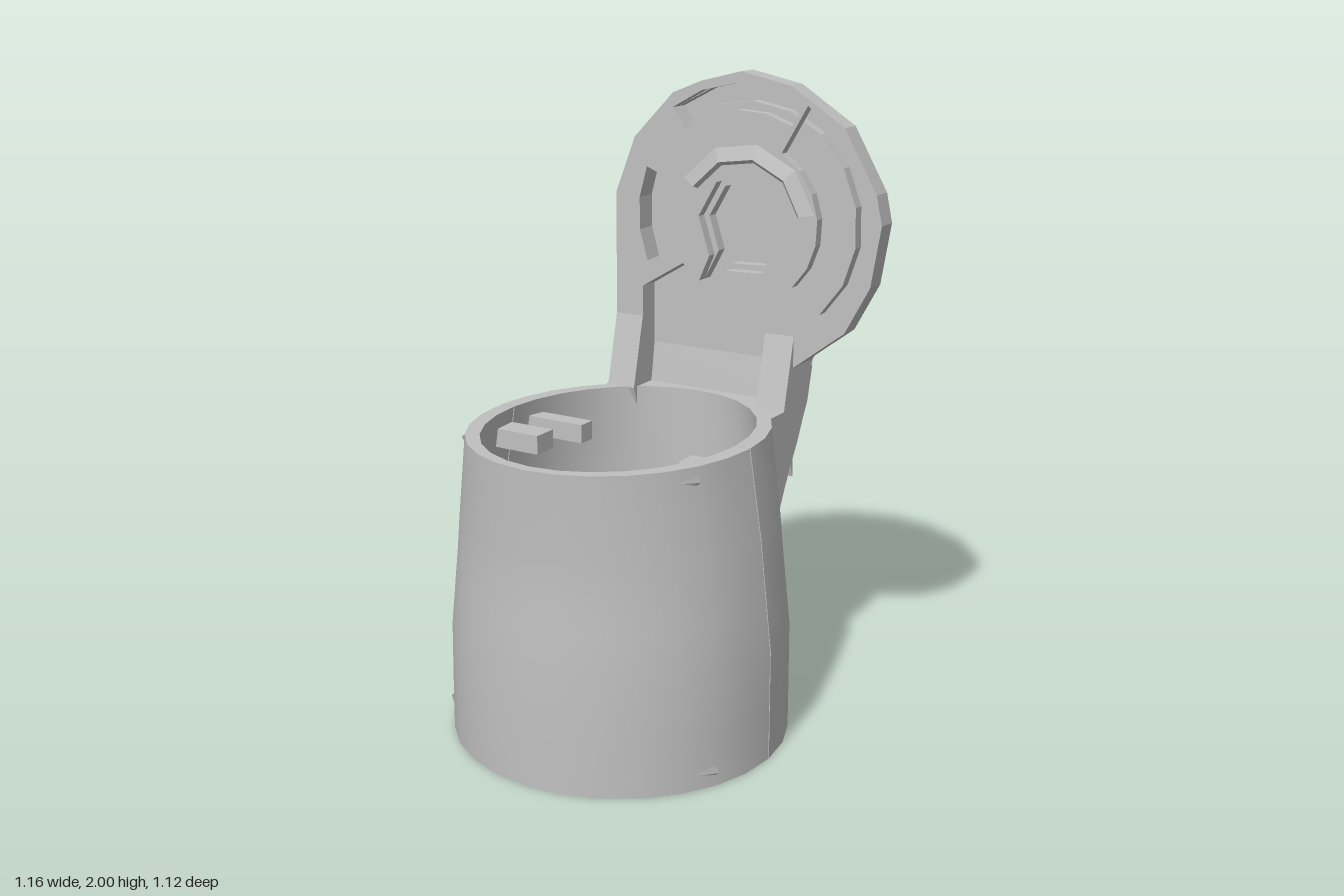
import * as THREE from 'three';

const grey = new THREE.MeshStandardMaterial({ color: 0xc0c0c0, side: THREE.DoubleSide });
grey.name = 'plain grey';

const CX = -0.055, CZ = 0.03;      // sleeve axis
const DX = 0.115, DY = 1.54;       // disc centre
const lerp = THREE.MathUtils.lerp;

// piecewise-linear lookup in [[key, value], ...]
function sample(table, y) {
  if (y <= table[0][0]) return table[0][1];
  for (let i = 1; i < table.length; i++) {
    const [a, va] = table[i - 1], [b, vb] = table[i];
    if (y <= b) return lerp(va, vb, (y - a) / (b - a));
  }
  return table[table.length - 1][1];
}
const outerX = [[0, 0.529], [0.35, 0.527], [0.7, 0.487], [0.97, 0.445]];
const outerZ = [[0, 0.522], [0.3, 0.52], [0.65, 0.497], [0.97, 0.505]];
const armBlend = [[0.6, 0], [0.72, 0.28], [0.85, 0.62], [0.97, 0.87], [1.08, 0.97], [1.2, 1]];

// surface through rows of points: us x vs
function surface(us, vs, fn) {
  const pos = [], idx = [], n = vs.length;
  us.forEach(u => vs.forEach(v => pos.push(...fn(u, v))));
  for (let i = 0; i < us.length - 1; i++) for (let j = 0; j < n - 1; j++) {
    const a = i * n + j;
    idx.push(a, a + 1, a + n, a + 1, a + n + 1, a + n);
  }
  const g = new THREE.BufferGeometry();
  g.setAttribute('position', new THREE.Float32BufferAttribute(pos, 3));
  g.setIndex(idx);
  g.computeVertexNormals();
  return g;
}
function add(parent, name, geo) {
  const m = new THREE.Mesh(geo, grey);
  m.name = name;
  parent.add(m);
  return m;
}
function box(parent, name, x0, x1, y0, y1, z0, z1) {
  add(parent, name, new THREE.BoxGeometry(x1 - x0, y1 - y0, z1 - z0))
    .position.set((x0 + x1) / 2, (y0 + y1) / 2, (z0 + z1) / 2);
}

// sleeve points; s is +1 for the front half, -1 for the back half
const wall = (a, y, s, inX, inZ) => [CX - s * Math.cos(a) * (sample(outerX, y) - inX), y,
  CZ + s * (0.002 + Math.sin(a) * (sample(outerZ, y) - inZ))];
const outer = (a, y, s) => wall(a, y, s, 0, 0);
const inner = (a, y, s) => wall(a, y, s, 0.05, 0.035);
// edge of the inner ledge: round with a flat on each side
const ledge = (a, y, s) => [CX - s * THREE.MathUtils.clamp(Math.cos(a) * 0.44, -0.35, 0.35), y,
  CZ + s * (0.002 + Math.sin(a) * 0.43)];

function halfSleeve(s) {
  const g = new THREE.Group();
  g.name = s > 0 ? 'frontSleeveHalf' : 'backSleeveHalf';
  const as = Array.from({ length: 15 }, (_, i) => i / 14 * Math.PI);
  const ys = [0, 0.01, 0.15, 0.35, 0.5, 0.6, 0.7, 0.85, 0.97];
  const band = (name, rows) => add(g, name, surface(rows, as, ([fn, y], a) => fn(a, y, s)));
  band('outerWall', ys.map(y => [outer, y]));
  band('innerWall', ys.map(y => [inner, y]).reverse());
  band('topRim', [[outer, 0.97], [inner, 0.97]]);
  band('bottomRim', [[inner, 0], [outer, 0]]);
  band('ledgeTop', [[inner, 0.16], [ledge, 0.16]]);
  band('ledgeEdge', [[ledge, 0.16], [ledge, 0.1]]);
  band('ledgeUnderside', [[ledge, 0.1], [inner, 0.1]]);
  // faces along the seam
  [0, Math.PI].forEach(a => {
    add(g, 'seamFace', surface([outer, inner], ys, (fn, y) => fn(a, y, s)));
    add(g, 'ledgeEnd', surface([inner, ledge], [0.1, 0.16], (fn, y) => fn(a, y, s)));
  });
  return g;
}

// z of the sleeve's back surface
function sleeveBack(x, y) {
  const d = (x - CX) / sample(outerX, y);
  return CZ - 0.002 - sample(outerZ, y) * Math.sqrt(Math.max(0, 1 - d * d));
}
function armBack(x, y) {
  const flat = x < -0.3 ? -0.5 : -0.56;
  return lerp(sleeveBack(x, y), flat, sample(armBlend, y));
}

// disc and arm silhouette, anticlockwise from lower right
const silhouette = [[0.3, 0.97], [0.3, 1.1], [0.47, 1.23], [0.55, 1.38], [0.58, 1.57], [0.56, 1.66],
  [0.45, 1.85], [0.27, 1.965], [0.1, 2], [-0.04, 1.965], [-0.14, 1.925], [-0.28, 1.78], [-0.35, 1.6], [-0.35, 1.1], [-0.35, 0.97]];
const toPoints = list => list.map(p => new THREE.Vector2(p[0], p[1]));

// arc-shaped opening round the disc centre, angles in degrees
function arcHole(r0, r1, d0, d1, n) {
  const pts = [];
  const put = (r, d) => pts.push([DX + r * Math.cos(d * Math.PI / 180), DY + r * Math.sin(d * Math.PI / 180)]);
  for (let i = 0; i <= n; i++) put(r1, lerp(d0, d1, i / n));
  for (let i = n; i >= 0; i--) put(r0, lerp(d0, d1, i / n));
  return new THREE.Path(toPoints(pts));
}

// front layer with the open slot and hub pocket cut into its outline
function frontLayer(z0, z1, hubR, holes) {
  const pts = [...silhouette, [-0.25, 0.97], [-0.25, 1.3], [-0.1, 1.39], [-0.04, 1.34]];
  for (let i = 0; i <= 7; i++) {
    const a = lerp(222, -112, i / 7) * Math.PI / 180;
    pts.push([DX + hubR * Math.cos(a), DY - 0.01 + hubR * Math.sin(a)]);
  }
  pts.push([0.02, 1.3], [0.17, 1.27], [0.2, 1.19], [0.2, 0.97]);
  const shape = new THREE.Shape(toPoints(pts));
  shape.holes.push(...holes);
  const g = new THREE.ExtrudeGeometry(shape, { depth: z1 - z0, bevelEnabled: false });
  return g.translate(0, 0, z0);
}

export function createModel() {
  const model = new THREE.Group();
  model.name = 'sleeveWithDiscArm';
  model.add(halfSleeve(1), halfSleeve(-1));

  // tabs near the rim, ribs on the ledge
  box(model, 'leftTab', 0.2, 0.37, 0.86, 0.92, 0.035, 0.12);
  box(model, 'rightTab', -0.47, -0.3, 0.86, 0.92, 0.035, 0.12);
  box(model, 'rightLongTab', -0.47, -0.25, 0.86, 0.92, -0.11, -0.05);
  [[-0.29, -0.12], [0.17, 0.31]].forEach(([z0, z1]) => {
    box(model, 'leftRib', 0.25, 0.34, 0.1, 0.17, z0, z1);
    box(model, 'rightRib', -0.45, -0.35, 0.1, 0.17, z0, z1);
  });
  box(model, 'frontTab', -0.12, 0.01, 0.1, 0.17, 0.45, 0.5);

  // small triangular nubs on the outer wall
  [-1, 1].forEach(s => [[0.93, 0.395, 0.045], [0.05, 0.467, 0.05]].forEach(([y, dx, r]) => {
    const nub = new THREE.ConeGeometry(r, 0.05, 3);
    add(model, 'wallNub', nub.rotateZ(-s * Math.PI / 2).translate(CX + s * dx, y, 0.27));
  }));

  // arm: its back flows from the round sleeve to the flat disc
  const arm = new THREE.Group();
  arm.name = 'arm';
  model.add(arm);
  const xs = [-0.35, -0.285, -0.2, -0.1, 0, 0.1, 0.2, 0.25, 0.3];
  const ys = [0.6, 0.66, 0.72, 0.785, 0.85, 0.91, 0.97, 1.08, 1.2];
  add(arm, 'armBack', surface(xs, ys, (x, y) => [x, y, armBack(x, y) - 0.002]));
  [-0.35, 0.3].forEach(x => {
    add(arm, 'armSide', surface([0, 1], ys.slice(0, 7),
      (t, y) => [x, y, t ? armBack(x, y) : sleeveBack(x, y) + 0.03]));
    add(arm, 'armSideUpper', surface([0, 1], [0.97, 1.08], (t, y) => [x, y, t ? armBack(x, y) : -0.415]));
  });
  // ledge and tapering rail feet where the arm meets the rim
  add(arm, 'armLedge', surface(xs, [0, 1], (x, t) => [x, 0.968, t ? -0.49 : sleeveBack(x, 0.968) + 0.03]));
  [[-0.35, -0.25], [0.2, 0.3]].forEach(([x0, x1]) => {
    const foot = new THREE.Shape(toPoints([[0.36, 0.968], [0.43, 0.74], [0.43, 1.2], [0.415, 1.2]]));
    const g = new THREE.ExtrudeGeometry(foot, { depth: x1 - x0, bevelEnabled: false });
    add(arm, 'railFoot', g.rotateY(Math.PI / 2).translate(x0, 0, 0));
  });

  // disc: chamfered back plate, the far outline drawn inwards
  const disc = new THREE.Group();
  disc.name = 'disc';
  model.add(disc);
  const plate = new THREE.ExtrudeGeometry(new THREE.Shape(toPoints(silhouette)), { depth: 0.08, bevelEnabled: false });
  plate.translate(0, 0, -0.56);
  const p = plate.attributes.position;
  for (let i = 0; i < p.count; i++) {
    const x = p.getX(i), y = p.getY(i);
    if (p.getZ(i) > -0.5) {
      p.setZ(i, y < 1 ? -0.47 : -0.489);
      continue;
    }
    if (y > 1.15) p.setXY(i, DX + (x - DX) * 0.85, DY + (y - DY) * 0.87);
    else if (x < 0) p.setX(i, x + 0.065);
    if (y < 1.15) p.setZ(i, y < 1 ? -0.48 : -0.553);
  }
  plate.computeVertexNormals();
  add(disc, 'discBack', plate);

  // stepped front with arc grooves, slot and hub pocket
  const leftArc = () => arcHole(0.27, 0.38, 157, 204, 3);
  add(disc, 'discFrontLower', frontLayer(-0.489, -0.45, 0.14, [arcHole(0.37, 0.425, -47, 127, 9), leftArc()]));
  add(disc, 'discFrontUpper', frontLayer(-0.45, -0.415, 0.16, [arcHole(0.255, 0.425, -47, 60, 6),
    arcHole(0.345, 0.425, 62, 127, 4), leftArc()]));

  // faceted collar fanning out round the hub pocket
  const collar = surface([0, 1, 2], [10, 45, 80, 115, 150], (k, d) => {
    const r = [0.14, 0.2, 0.25][k], a = d * Math.PI / 180;
    return [DX + r * Math.cos(a), DY + r * Math.sin(a), [-0.47, -0.402, -0.416][k]];
  }).toNonIndexed();
  collar.computeVertexNormals();
  add(disc, 'hubCollar', collar);
  return model;
}
